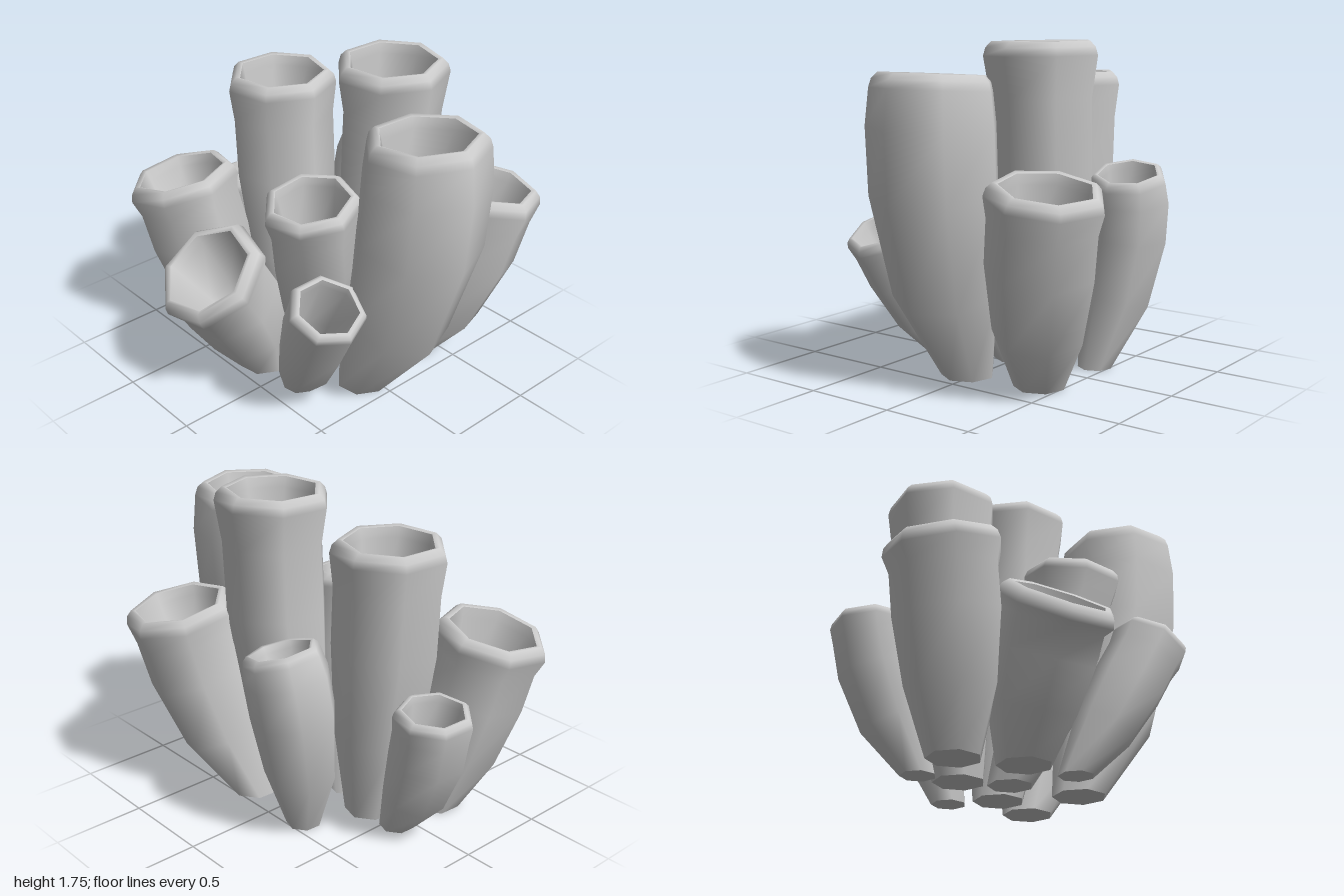
import * as THREE from 'three';

const SIDES = 7;
const material = new THREE.MeshStandardMaterial({ color: 0xcccccc });
const V = (a) => new THREE.Vector3(...a);

// One ring of points around a centre, square to the given direction
function ring(center, dir, radius) {
  const u = new THREE.Vector3(1, 0, 0).addScaledVector(dir, -dir.x).normalize();
  const v = u.clone().cross(dir);
  return Array.from({ length: SIDES }, (_, j) => {
    const a = (j / SIDES) * Math.PI * 2 + 0.06;
    return center.clone()
      .addScaledVector(u, Math.cos(a) * radius)
      .addScaledVector(v, Math.sin(a) * radius);
  });
}

// Smooth skin joining consecutive rings
function skin(name, rings) {
  const index = [];
  for (let i = 0; i < rings.length - 1; i++) {
    for (let j = 0; j < SIDES; j++) {
      const k = (j + 1) % SIDES;
      const a = i * SIDES + j, b = i * SIDES + k;
      const c = a + SIDES, d = b + SIDES;
      index.push(a, c, b, b, c, d);
    }
  }
  const geometry = new THREE.BufferGeometry().setFromPoints(rings.flat());
  geometry.setIndex(index);
  geometry.computeVertexNormals();
  const mesh = new THREE.Mesh(geometry, material);
  mesh.name = name;
  return mesh;
}

// A bent hollow tube: narrow foot, swelling body, bevelled lip, hollow tapering towards the foot.
// r is the lip radius; neck scales the body below it (above 1 it bulges, below 1 the lip flares).
function createTube({ name, base, bend, top, r, neck = 0.96 }) {
  const path = new THREE.QuadraticBezierCurve3(V(base), V(bend), V(top));
  const up = new THREE.Vector3(0, 1, 0);
  const end = path.getTangent(1);
  const along = (t, s) => ring(path.getPoint(t), path.getTangent(t), r * s);
  const lip = (drop, s) => ring(V(top).addScaledVector(end, -drop * r), end, r * s);
  const foot = ring(V(base), up, r * 0.45);

  const group = new THREE.Group();
  group.name = name;
  group.add(
    skin('foot', [ring(V(base), up, 0), foot]),
    skin('wall', [
      foot, along(0.33, 0.85 * neck), along(0.65, neck), along(0.85, neck),
      lip(0.24, 1), lip(0.1, 0.96), lip(0, 0.86), lip(0.02, 0.78),
    ]),
    skin('hollow', [lip(0.02, 0.78), lip(0.2, 0.74), along(0.6, 0.52), along(0.3, 0.28), along(0.1, 0.1), along(0.08, 0)]),
  );
  return group;
}

const TUBES = [
  { name: 'tallBackTube', base: [0, 0, -0.24], bend: [0.14, 0.8, -0.32], top: [0.14, 1.75, -0.305], r: 0.3, neck: 0.89 },
  { name: 'tallLeftTube', base: [0.32, 0, 0.04], bend: [0.71, 0.75, -0.03], top: [0.66, 1.6, -0.03], r: 0.315, neck: 1.06 },
  { name: 'tallRightTube', base: [-0.33, 0, -0.06], bend: [-0.45, 0.75, -0.07], top: [-0.46, 1.57, -0.065], r: 0.298, neck: 0.93 },
  { name: 'backLeftTube', base: [0.26, 0, -0.38], bend: [0.5, 0.5, -0.53], top: [0.56, 1.09, -0.63], r: 0.3, neck: 0.93 },
  { name: 'backRightTube', base: [-0.2, 0, -0.42], bend: [-0.36, 0.6, -0.55], top: [-0.24, 1.07, -0.585], r: 0.205, neck: 1.09 },
  { name: 'outerRightTube', base: [-0.55, 0, -0.07], bend: [-0.8, 0.4, -0.1], top: [-0.83, 0.8, -0.11], r: 0.205 },
  { name: 'frontRightTube', base: [-0.52, 0, 0.25], bend: [-0.6, 0.5, 0.38], top: [-0.71, 1.04, 0.45], r: 0.305, neck: 0.91 },
  { name: 'frontTube', base: [-0.18, 0, 0.33], bend: [-0.18, 0.4, 0.43], top: [-0.18, 0.755, 0.69], r: 0.31, neck: 0.88 },
  { name: 'middleTube', base: [-0.08, 0, 0.02], bend: [0.14, 0.62, 0.18], top: [0.165, 1.16, 0.27], r: 0.26, neck: 0.91 },
  { name: 'frontLeftTube', base: [0.12, 0, 0.32], bend: [0.33, 0.4, 0.43], top: [0.52, 0.77, 0.465], r: 0.205, neck: 0.94 },
];

export function createModel() {
  const model = new THREE.Group();
  model.name = 'tubeCluster';
  TUBES.forEach((tube) => model.add(createTube(tube)));
  return model;
}
